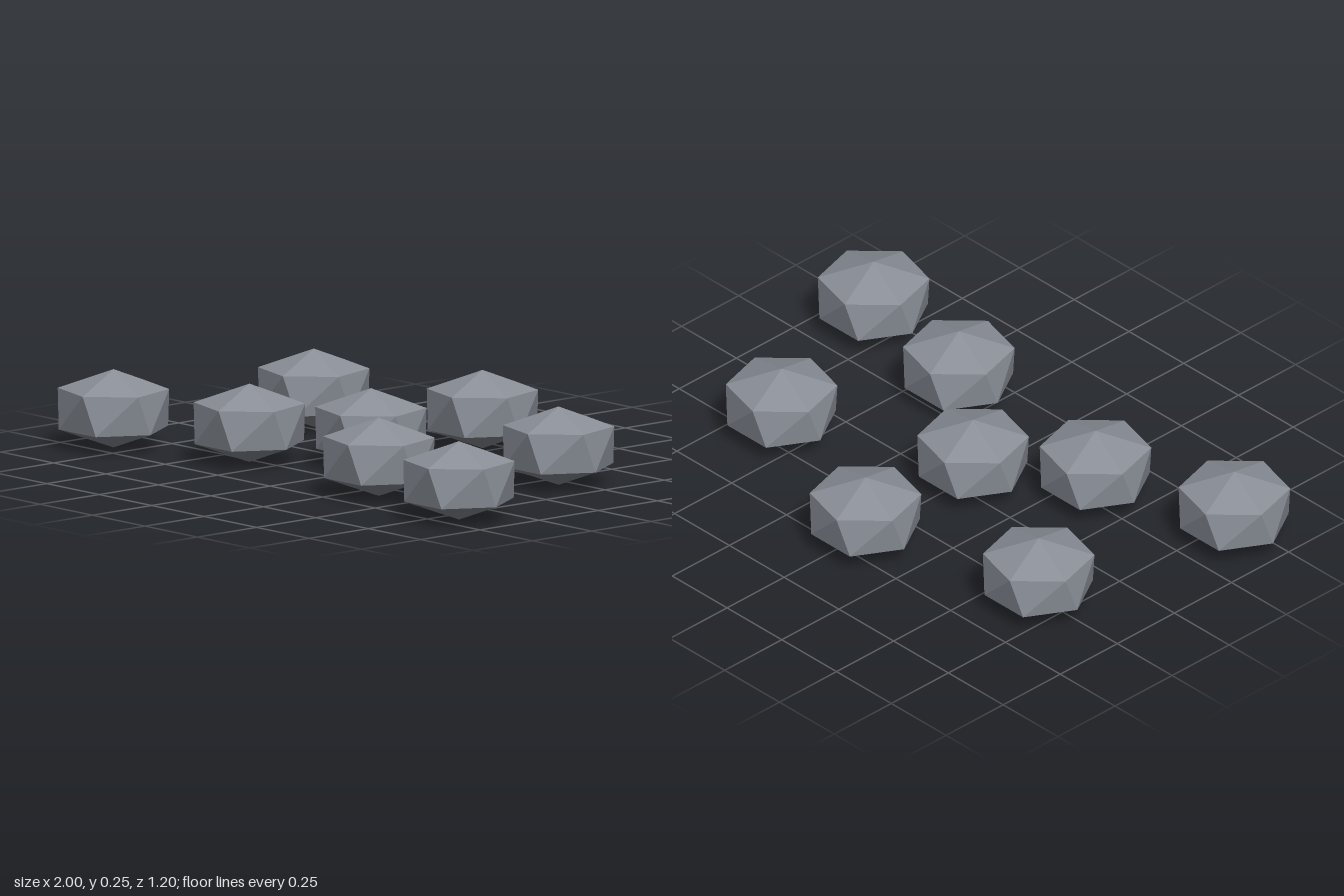
import * as THREE from 'three';
import { ConvexGeometry } from 'three/addons/geometries/ConvexGeometry.js';

const RADIUS = 0.1765;

// Six points of a horizontal hexagon, turned by the given angle in degrees
function hexRing(y, turn) {
  return Array.from({ length: 6 }, (_, i) => {
    const a = THREE.MathUtils.degToRad(turn + i * 60);
    return new THREE.Vector3(RADIUS * Math.cos(a), y, RADIUS * Math.sin(a));
  });
}

export function createModel() {
  const model = new THREE.Group();
  model.name = 'stoneCluster';

  const stoneGrey = new THREE.MeshStandardMaterial({ color: 0x8a8f98 });
  stoneGrey.name = 'stoneGrey';

  // Faceted stone: two poles and two rings, the upper ring twisted by 15 degrees
  const stoneGeometry = new ConvexGeometry([
    new THREE.Vector3(0, 0, 0),
    ...hexRing(0.064, 0),
    ...hexRing(0.19, 15),
    new THREE.Vector3(0, 0.252, 0),
  ]);

  // Scattered stones, as [x, z]
  const places = [
    [-0.04, -0.432],
    [-0.667, -0.275],
    [0.588, -0.197],
    [-0.04, 0.039],
    [-0.353, 0.275],
    [0.353, 0.354],
    [-0.8235, 0.432],
    [0.8235, 0.432],
  ];
  places.forEach(([x, z], i) => {
    const stone = new THREE.Mesh(stoneGeometry, stoneGrey);
    stone.name = `stone${i + 1}`;
    stone.position.set(x, 0, z);
    model.add(stone);
  });

  return model;
}
